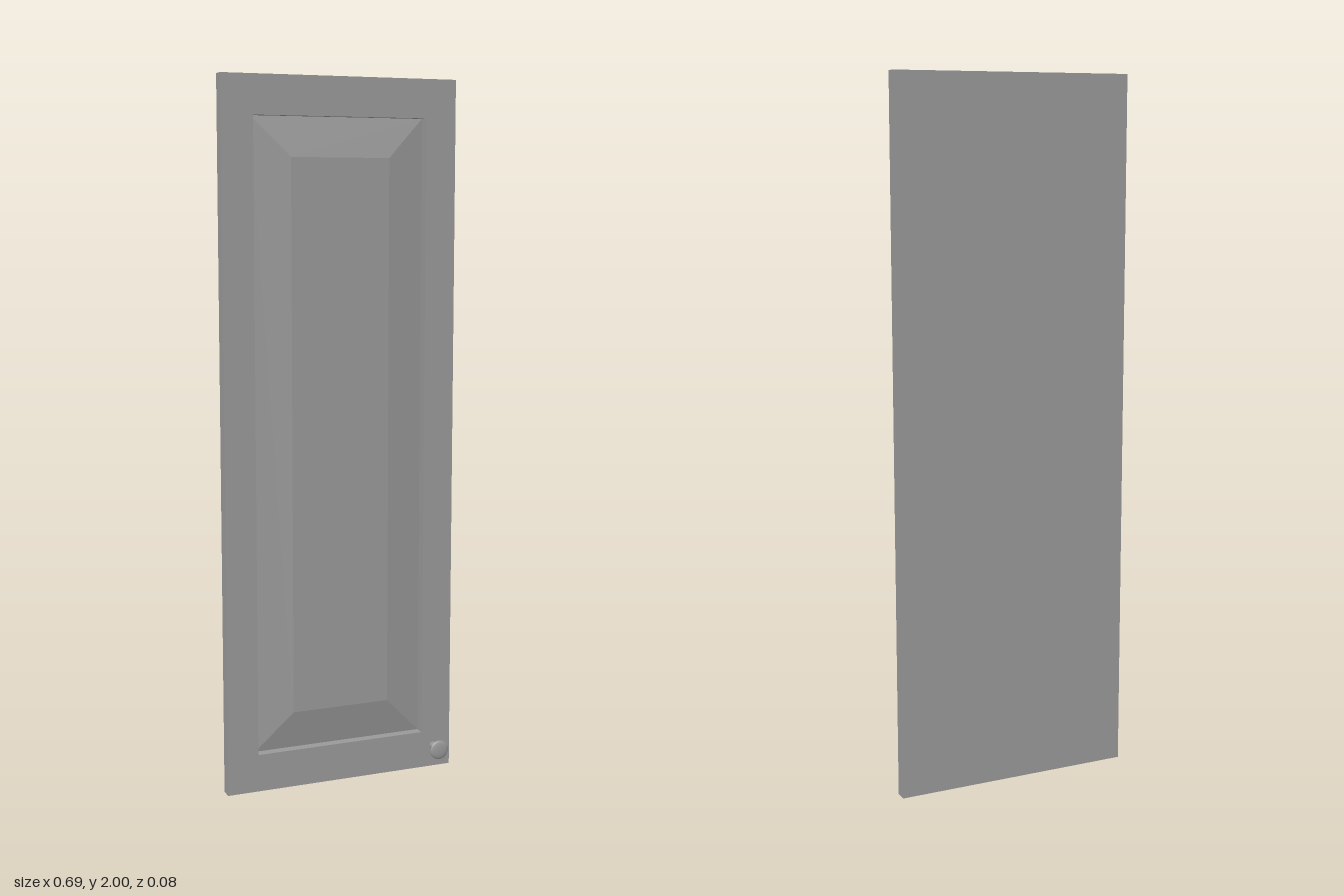
import * as THREE from 'three';

const material = new THREE.MeshStandardMaterial({ color: 0x999999 });
const flat = new THREE.MeshStandardMaterial({ color: 0x999999, flatShading: true });
const H = 2, BACK = -0.042, FRONT = -0.008, RECESS = -0.037, FIELD = -0.014;

// Skin through rectangular rings [halfWidth, halfHeight, z], centred at mid height
function rectLoft(rings) {
  const positions = [];
  const corner = ([w, h, z], k) => [
    k % 4 === 0 || k % 4 === 3 ? -w : w,
    H / 2 + (k % 4 < 2 ? -h : h),
    z,
  ];
  for (let i = 0; i < rings.length - 1; i++) {
    for (let k = 0; k < 4; k++) {
      const a = corner(rings[i], k), b = corner(rings[i], k + 1);
      const c = corner(rings[i + 1], k + 1), d = corner(rings[i + 1], k);
      positions.push(...a, ...b, ...c, ...a, ...c, ...d);
    }
  }
  const geometry = new THREE.BufferGeometry();
  geometry.setAttribute('position', new THREE.Float32BufferAttribute(positions, 3));
  geometry.computeVertexNormals();
  return geometry;
}

function addMesh(parent, name, geometry, mat) {
  const mesh = new THREE.Mesh(geometry, mat);
  mesh.name = name;
  parent.add(mesh);
  return mesh;
}

export function createModel() {
  const door = new THREE.Group();
  door.name = 'cabinetDoor';

  // Frame: closed back, outer edges, front border and the step into the recess
  addMesh(door, 'doorFrame', rectLoft([
    [0, 0, BACK],
    [0.347, 1, BACK],
    [0.347, 1, FRONT],
    [0.256, 0.892, FRONT],
    [0.256, 0.892, RECESS],
  ]), flat);

  // Raised panel: bevel rising from the recess to a flat field
  addMesh(door, 'raisedPanel', rectLoft([
    [0.256, 0.892, RECESS],
    [0.146, 0.782, FIELD],
    [0, 0, FIELD],
  ]), flat);

  // Knob in the lower corner of the door
  const knob = new THREE.Group();
  knob.name = 'knob';
  knob.position.set(0.294, 0.062, 0);
  knob.rotation.x = Math.PI / 2;
  door.add(knob);

  const stem = addMesh(knob, 'knobStem', new THREE.CylinderGeometry(0.0115, 0.0115, 0.041, 32, 1, true), material);
  stem.position.y = 0.0115;

  // Flattened disc with a full, rounded rim
  const profile = [];
  for (let i = 0; i <= 24; i++) {
    const t = -Math.PI / 2 + (i / 24) * Math.PI;
    profile.push(new THREE.Vector2(0.0285 * Math.max(0, Math.cos(t)) ** 0.85, 0.007 * Math.sin(t)));
  }
  const head = addMesh(knob, 'knobHead', new THREE.LatheGeometry(profile, 40), material);
  head.position.y = 0.034;

  return door;
}
